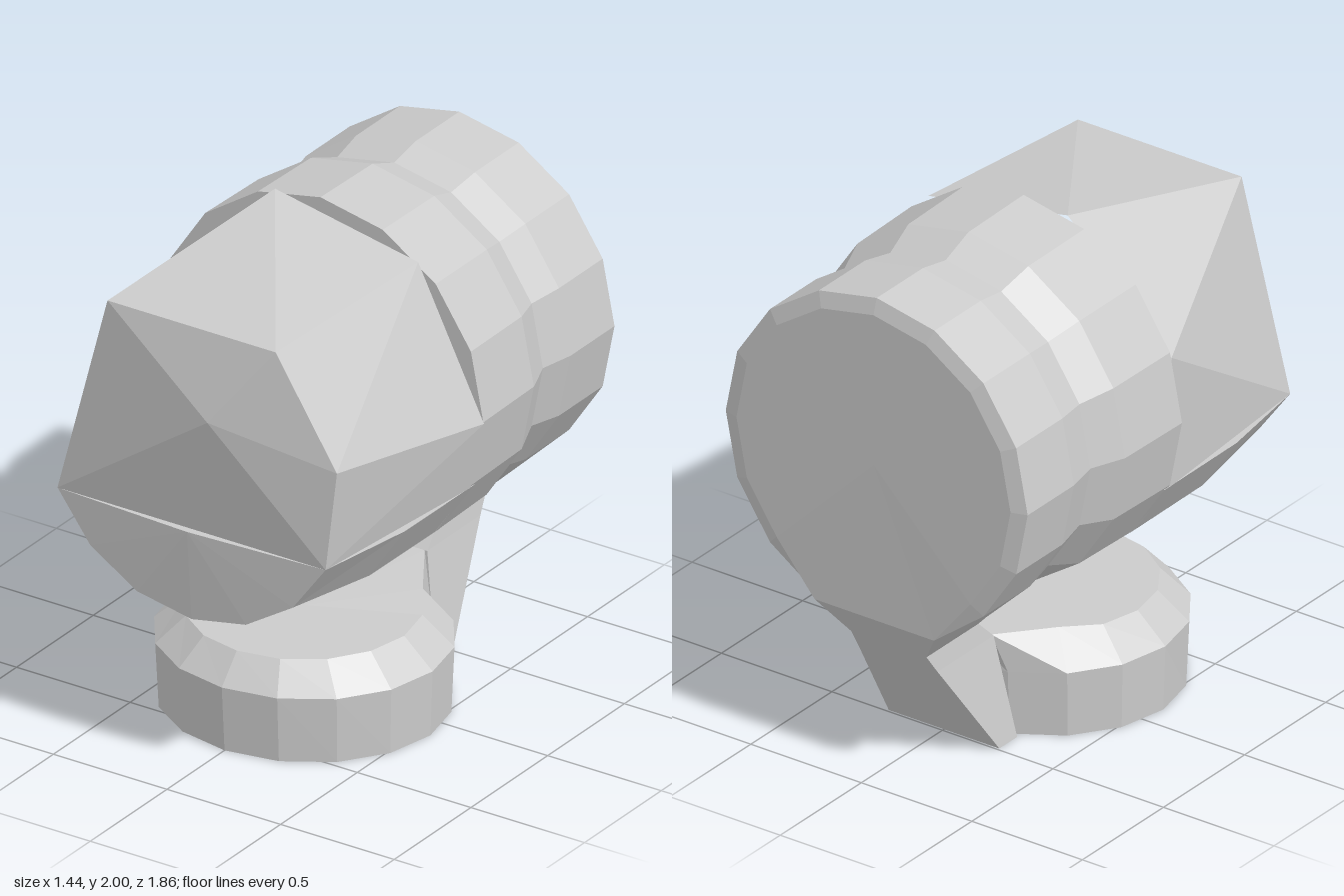
import * as THREE from 'three';

const CY = 1.285; // height of the head's axis
const material = new THREE.MeshStandardMaterial({ color: 0xcccccc, flatShading: true });

// Skin a stack of closed rings (counter-clockwise about the stacking axis),
// closing each end with a fan to a start and an end point.
function loft(name, rings, start, end) {
  const pos = [];
  const tri = (a, b, c) => pos.push(...a, ...b, ...c);
  const n = rings[0].length;
  for (let i = 0; i < n; i++) {
    const j = (i + 1) % n;
    for (let k = 0; k + 1 < rings.length; k++) {
      const lo = rings[k], hi = rings[k + 1];
      tri(lo[i], lo[j], hi[i]);
      tri(lo[j], hi[j], hi[i]);
    }
    const last = rings[rings.length - 1];
    if (start) tri(rings[0][j], rings[0][i], start);
    if (end) tri(last[i], last[j], end);
  }
  const g = new THREE.BufferGeometry();
  g.setAttribute('position', new THREE.Float32BufferAttribute(pos, 3));
  g.computeVertexNormals();
  const mesh = new THREE.Mesh(g, material);
  mesh.name = name;
  return mesh;
}

// Circle about the head axis; point 12 of 16 is the lowest
const circle = (r, z) => Array.from({ length: 16 }, (_, i) => {
  const a = i * Math.PI / 8;
  return [r * Math.cos(a), CY + r * Math.sin(a), z];
});

// Circle whose lowest points are drawn down to the neck
function teardrop(r, z, halfWidth, lowY, lowZ) {
  const ring = circle(r, z);
  [-1, 0, 1].forEach(s => { ring[12 + s] = [s * halfWidth, lowY, lowZ]; });
  return ring;
}

// Part of a head circle below y = 1
function lowerArc(r, z) {
  const a0 = Math.PI + Math.asin((CY - 1) / r), a1 = 3 * Math.PI - a0;
  return Array.from({ length: 7 }, (_, i) => {
    const a = a0 + (a1 - a0) * i / 6;
    return [r * Math.cos(a), CY + r * Math.sin(a), z];
  });
}

// Horizontal ring of the base
const baseRing = (rx, rz, y) => Array.from({ length: 16 }, (_, i) => {
  const a = i * Math.PI / 8;
  return [rx * Math.cos(a), y, 0.105 - rz * Math.sin(a)];
});

// Horizontal four-cornered section of the neck
const neckRing = (x, y, front, back) =>
  [[x, y, front], [x, y, back], [-x, y, back], [-x, y, front]];

export function createModel() {
  const model = new THREE.Group();
  model.name = 'model';

  // Round middle band, narrowing to the groove behind it
  model.add(loft('middleBand',
    [circle(0.655, -0.48), circle(0.71, -0.34), circle(0.717, 0)],
    [0, CY, -0.48], [0, CY, 0]));

  // Rear disc, drawn down to meet the neck
  model.add(loft('rearDisc', [
    teardrop(0.62, -0.925, 0.27, 0.64, -0.92),
    teardrop(0.683, -0.905, 0.17, 0.5, -0.83),
    teardrop(0.683, -0.62, 0.17, 0.5, -0.62),
    teardrop(0.655, -0.48, 0.17, 0.5, -0.51),
  ], [0, CY, -0.925], [0, CY, -0.48]));

  // Coarse upper hood with a shallow pointed front
  const at = (z, pts) => pts.map(([x, y]) => [x, y, z]);
  model.add(loft('frontHood', [
    at(0, [[0.66, 1], [0.72, 1.28], [0.43, 1.86], [-0.2, 1.98], [-0.67, 1.54], [-0.66, 1]]),
    at(0.84, [[0.59, 1], [0.64, 1.41], [0.37, 1.83], [-0.37, 1.83], [-0.59, 1], [-0.59, 1]]),
  ], null, [0.13, 1.51, 0.93]));

  // Rounded shell under the hood
  model.add(loft('lowerShell',
    [lowerArc(0.717, -0.03), lowerArc(0.715, 0.42), lowerArc(0.655, 0.84)],
    null, [0, 1, 0.87]));

  // Bevelled foot, rising at the back and hollow underneath
  const top = baseRing(0.44, 0.44, 0.375);
  for (const p of top) p[1] += 0.14 * Math.max(0, -0.03 - p[2]);
  for (const i of [3, 4, 5]) { top[i][1] = 0.42; top[i][2] = -0.43; }
  model.add(loft('base',
    [baseRing(0.555, 0.52, 0), baseRing(0.565, 0.538, 0.265), top],
    [0, 0.26, 0.105], [0, 0.375, 0.105]));

  // Neck leaning back from the foot to the rear disc
  model.add(loft('neck', [
    neckRing(0.25, 0, -0.38, -0.49),
    neckRing(0.18, 0.42, -0.43, -0.776),
    neckRing(0.17, 0.5, -0.51, -0.83),
  ], [0, 0, -0.44], [0, 0.5, -0.67]));

  return model;
}
